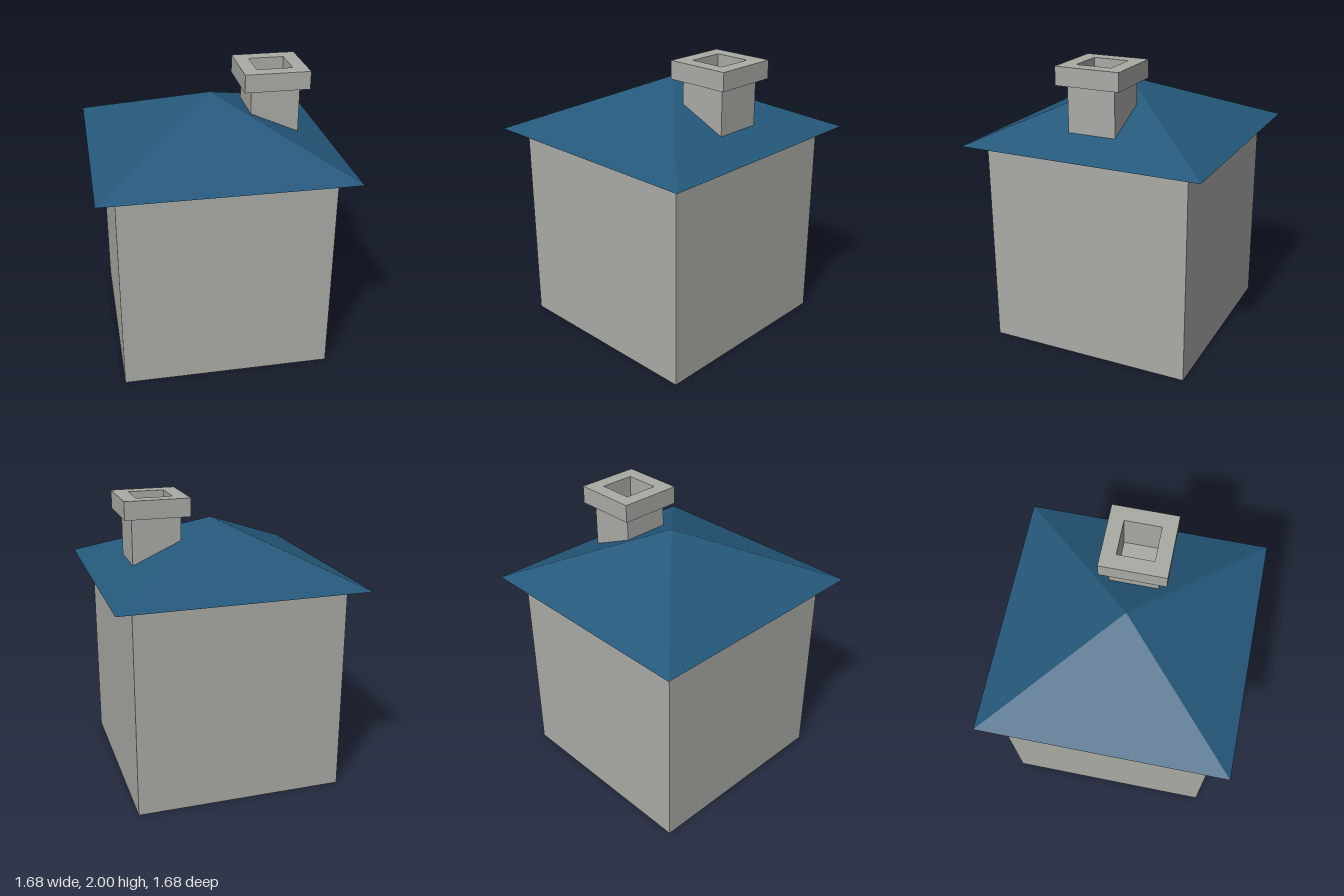
import * as THREE from 'three';

const stone = new THREE.MeshStandardMaterial({ color: 0xaaaaa5 });
stone.name = 'stone grey';
const slate = new THREE.MeshStandardMaterial({ color: 0x24587a });
slate.name = 'slate blue';

// Square collar with a square flue hole, rising from y0 to y1
function collar(name, half, hole, y0, y1) {
  const square = (Type, r) => new Type([
    new THREE.Vector2(-r, -r), new THREE.Vector2(r, -r),
    new THREE.Vector2(r, r), new THREE.Vector2(-r, r),
  ]);
  const shape = square(THREE.Shape, half);
  shape.holes.push(square(THREE.Path, hole));
  const geo = new THREE.ExtrudeGeometry(shape, { depth: y1 - y0, bevelEnabled: false });
  geo.rotateX(-Math.PI / 2);
  geo.translate(0, y0, 0);
  const mesh = new THREE.Mesh(geo, stone);
  mesh.name = name;
  return mesh;
}

function box(name, w, y0, y1) {
  const mesh = new THREE.Mesh(new THREE.BoxGeometry(w, y1 - y0, w), stone);
  mesh.position.y = (y0 + y1) / 2;
  mesh.name = name;
  return mesh;
}

export function createModel() {
  const house = new THREE.Group();
  house.name = 'house';

  // Square walls
  house.add(box('walls', 1.436, 0, 1.445));

  // Pyramid roof with overhanging eaves and a closed underside
  const roofGeo = new THREE.ConeGeometry(0.842 * Math.SQRT2, 0.377, 4, 1).toNonIndexed();
  roofGeo.rotateY(Math.PI / 4);
  roofGeo.computeVertexNormals();
  const roof = new THREE.Mesh(roofGeo, slate);
  roof.name = 'roof';
  roof.position.y = 1.445 + 0.377 / 2;
  house.add(roof);

  // Chimney: solid base, hollow shaft, wider cap
  const chimney = new THREE.Group();
  chimney.name = 'chimney';
  chimney.position.x = 0.423;
  chimney.add(
    box('chimneyBase', 0.334, 1.46, 1.71),
    collar('chimneyShaft', 0.167, 0.123, 1.71, 1.876),
    collar('chimneyCap', 0.223, 0.123, 1.876, 2),
  );
  house.add(chimney);

  return house;
}
